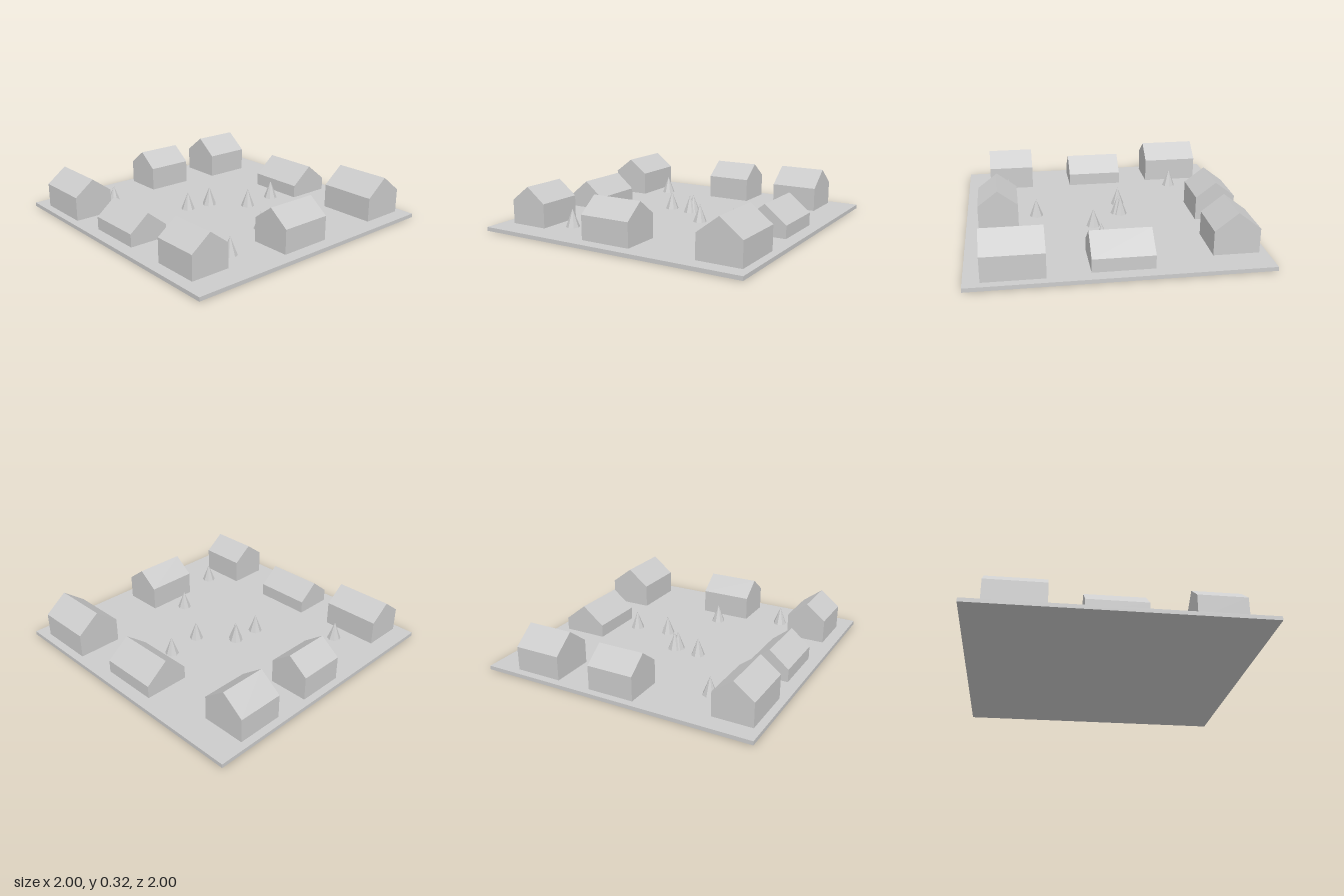
import * as THREE from 'three';

const GROUND = 0.028;

// Gabled solid: pentagon profile extruded along its ridge, base at y = 0
function gableGeometry(width, length, eave, peak) {
  const w = width / 2;
  const profile = new THREE.Shape();
  profile.moveTo(-w, 0);
  profile.lineTo(w, 0);
  profile.lineTo(w, eave);
  profile.lineTo(0, peak);
  profile.lineTo(-w, eave);
  profile.closePath();
  const geometry = new THREE.ExtrudeGeometry(profile, { depth: length, bevelEnabled: false });
  return geometry.translate(0, 0, -length / 2);
}

export function createModel() {
  const village = new THREE.Group();
  village.name = 'village';
  const grey = new THREE.MeshStandardMaterial({ color: 0xcccccc });
  grey.name = 'plain grey';
  grey.flatShading = true;

  // Ground slab
  const ground = new THREE.Mesh(new THREE.BoxGeometry(2, GROUND, 2), grey);
  ground.name = 'ground';
  ground.position.y = GROUND / 2;
  village.add(ground);

  // Houses: x0, x1, z0, z1, eave height, peak height, ridge axis
  const houses = [
    [-0.945, -0.66, -0.87, -0.46, 0.2, 0.308, 'z'],
    [-0.912, -0.63, -0.23, 0.18, 0.12, 0.235, 'z'],
    [-0.912, -0.63, 0.485, 0.823, 0.2, 0.308, 'z'],
    [0.59, 0.91, -0.22, 0.195, 0.12, 0.247, 'z'],
    [0.625, 0.943, 0.48, 0.89, 0.2, 0.322, 'z'],
    [-0.14, 0.195, -0.948, -0.663, 0.2, 0.308, 'x'],
    [0.445, 0.783, -0.945, -0.63, 0.2, 0.322, 'x'],
    [-0.225, 0.147, 0.625, 0.91, 0.2, 0.308, 'x'],
  ];
  for (const [x0, x1, z0, z1, eave, peak, axis] of houses) {
    const alongX = axis === 'x';
    const width = alongX ? z1 - z0 : x1 - x0;
    const length = alongX ? x1 - x0 : z1 - z0;
    const house = new THREE.Mesh(gableGeometry(width, length, eave - GROUND, peak - GROUND), grey);
    house.name = 'house';
    house.position.set((x0 + x1) / 2, GROUND, (z0 + z1) / 2);
    if (alongX) house.rotation.y = Math.PI / 2;
    village.add(house);
  }

  // Trees: eight-sided cones
  const treeHeight = 0.13;
  const treeGeometry = new THREE.ConeGeometry(0.05, treeHeight, 8);
  const trees = [
    [-0.53, -0.627], [-0.19, -0.145], [0.007, -0.135], [-0.01, -0.115],
    [0.195, 0.092], [0.455, 0.068], [-0.043, 0.488], [-0.493, 0.68],
  ];
  for (const [x, z] of trees) {
    const tree = new THREE.Mesh(treeGeometry, grey);
    tree.name = 'tree';
    tree.position.set(x, GROUND + treeHeight / 2, z);
    village.add(tree);
  }

  return village;
}
